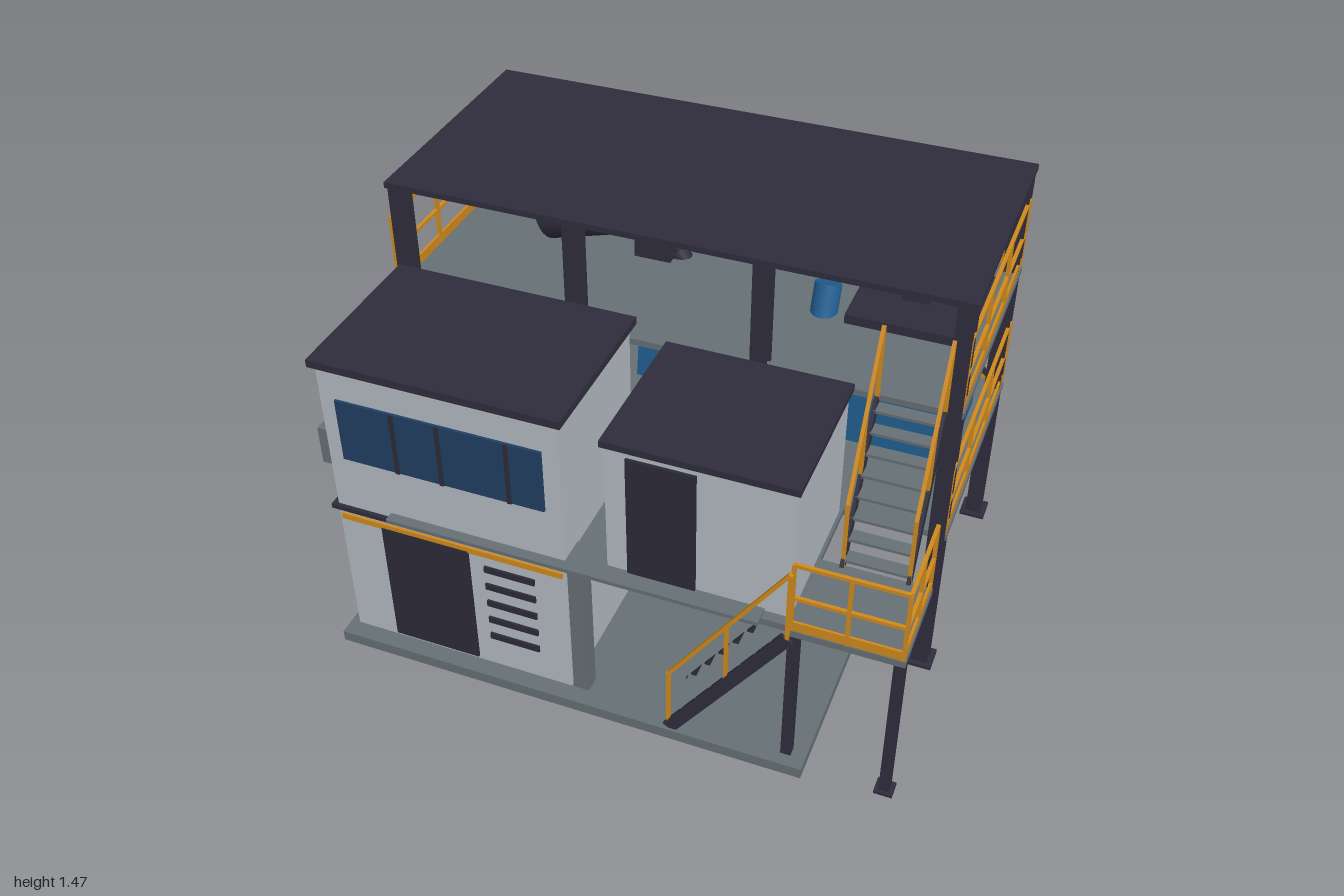
import * as THREE from 'three';

export function createModel() {
  const root = new THREE.Group();
  root.name = 'processingPlant';
  const mat = (name, color, side = THREE.FrontSide) => {
    const m = new THREE.MeshStandardMaterial({ color, side });
    m.name = name;
    return m;
  };
  const steel = mat('darkSteel', 0x2f2d3c);
  const wall = mat('panelGrey', 0xb3bac2);
  const deck = mat('deckGrey', 0x657075);
  const yellow = mat('safetyYellow', 0xd08a1c);
  const blue = mat('machineBlue', 0x225f92);
  const glass = mat('windowBlue', 0x213f63);
  const door = mat('doorDark', 0x2c2b38);

  const group = (name, parent = root) => {
    const g = new THREE.Group();
    g.name = name;
    parent.add(g);
    return g;
  };
  const add = (parent, name, geo, m) => {
    const mesh = new THREE.Mesh(geo, m);
    mesh.name = name;
    parent.add(mesh);
    return mesh;
  };
  // box given by its limits on each axis
  const box = (parent, name, m, x0, x1, y0, y1, z0, z1) => {
    const b = add(parent, name, new THREE.BoxGeometry(x1 - x0, y1 - y0, z1 - z0), m);
    b.position.set((x0 + x1) / 2, (y0 + y1) / 2, (z0 + z1) / 2);
    return b;
  };
  // straight bar between two points
  const bar = (parent, name, m, p, q, w = 0.012, h = w) => {
    const a = new THREE.Vector3(...p), b = new THREE.Vector3(...q);
    const mesh = add(parent, name, new THREE.BoxGeometry(w, h, a.distanceTo(b)), m);
    mesh.position.copy(a).add(b).multiplyScalar(0.5);
    mesh.lookAt(b);
    return mesh;
  };
  // round pipe between two points
  const pipe = (parent, name, m, p, q, r, r2 = r) => {
    const a = new THREE.Vector3(...p), b = new THREE.Vector3(...q);
    const mesh = add(parent, name, new THREE.CylinderGeometry(r2, r, a.distanceTo(b), 24), m);
    mesh.position.copy(a).add(b).multiplyScalar(0.5);
    mesh.quaternion.setFromUnitVectors(new THREE.Vector3(0, 1, 0), b.sub(a).normalize());
    return mesh;
  };
  // guard rail run: posts, two rails and a toe board
  const railing = (y, [x0, z0], [x1, z1], n) => {
    const g = group('railing');
    for (let i = 0; i <= n; i++) {
      const x = x0 + (x1 - x0) * i / n, z = z0 + (z1 - z0) * i / n;
      bar(g, 'railPost', yellow, [x, y, z], [x, y + 0.26, z]);
    }
    for (const h of [0.13, 0.26]) bar(g, 'rail', yellow, [x0, y + h, z0], [x1, y + h, z1]);
    bar(g, 'toeBoard', yellow, [x0, y + 0.018, z0], [x1, y + 0.018, z1], 0.008, 0.034);
  };

  // steel frame: H columns on base plates
  const frame = group('steelFrame');
  const colX = [-0.905, -0.3, 0.32, 0.935];
  for (const x of colX) for (const z of [0.111, -0.708]) {
    const c = group('column', frame);
    for (const s of [-1, 1])
      box(c, 'flange', steel, x - 0.027, x + 0.027, 0, 1.45, z + s * 0.022 - 0.006, z + s * 0.022 + 0.006);
    box(c, 'web', steel, x - 0.008, x + 0.008, 0, 1.45, z - 0.02, z + 0.02);
    box(c, 'basePlate', steel, x - 0.045, x + 0.045, 0, 0.012, z - 0.046, z + 0.046);
  }
  box(frame, 'roof', steel, -0.945, 0.967, 1.45, 1.47, -0.738, 0.137);
  box(frame, 'lowerDeck', deck, -0.945, 0.967, 0.573, 0.596, -0.735, 0.137);
  box(frame, 'upperDeck', deck, -0.945, 0.967, 1.06, 1.082, -0.735, 0.137);
  for (const [a, b, y0, y1] of [[-0.905, -0.3, 0.03, 0.56], [0.32, 0.935, 0.61, 1.05]]) {
    bar(frame, 'brace', steel, [a, y0, -0.705], [b, y1, -0.705], 0.014, 0.018);
    bar(frame, 'brace', steel, [a, y1, -0.715], [b, y0, -0.715], 0.014, 0.018);
  }
  for (const y of [0.596, 1.082]) {
    railing(y, [-0.938, -0.73], [0.958, -0.73], 7);
    for (const x of [-0.938, 0.958]) railing(y, [x, 0.13], [x, -0.73], 3);
  }

  // ground slab and walkway under the cabins
  box(root, 'groundSlab', deck, -0.935, 0.71, 0.005, 0.045, 0.14, 0.755);
  box(root, 'cabinFloor', deck, -0.1, 0.63, 0.578, 0.602, 0.14, 0.7);
  box(root, 'frontLedge', deck, -0.71, 0.54, 0.597, 0.611, 0.6, 0.73);
  box(root, 'floorPost', deck, -0.095, -0.04, 0.045, 0.578, 0.64, 0.695);

  // lower room with door and louvres
  const store = group('lowerRoom');
  box(store, 'walls', wall, -0.905, -0.1, 0.045, 0.575, 0.155, 0.695);
  box(store, 'topSlab', steel, -0.925, -0.085, 0.575, 0.592, 0.148, 0.708);
  box(store, 'door', door, -0.75, -0.44, 0.06, 0.54, 0.695, 0.704);
  box(store, 'yellowStripe', yellow, -0.895, -0.11, 0.535, 0.557, 0.695, 0.703);
  for (let i = 0; i < 5; i++) {
    const y = 0.18 + i * 0.075;
    box(store, 'louvre', door, -0.387, -0.21, y - 0.012, y + 0.012, 0.695, 0.703);
  }

  // control room with windows and cooling unit
  const control = group('controlRoom');
  box(control, 'walls', wall, -0.905, -0.1, 0.592, 1.145, 0.155, 0.695);
  box(control, 'roof', steel, -0.922, -0.082, 1.145, 1.172, 0.14, 0.714);
  box(control, 'frontWindow', glass, -0.85, -0.155, 0.8, 1.03, 0.695, 0.704);
  for (const x of [-0.655, -0.5, -0.27])
    box(control, 'mullion', door, x - 0.007, x + 0.007, 0.8, 1.03, 0.703, 0.709);
  box(control, 'sideWindow', glass, -0.914, -0.905, 0.8, 1.03, 0.2, 0.66);
  box(control, 'coolingUnit', deck, -0.995, -0.905, 0.68, 0.82, 0.43, 0.62);
  pipe(control, 'fan', door, [-0.99, 0.75, 0.525], [-1, 0.75, 0.525], 0.048);

  // small cabin
  const cabin = group('smallCabin');
  box(cabin, 'walls', wall, 0.03, 0.62, 0.6, 1.085, 0.155, 0.665);
  box(cabin, 'roof', steel, 0.02, 0.632, 1.085, 1.108, 0.145, 0.677);
  box(cabin, 'door', door, 0.1, 0.32, 0.61, 1.06, 0.665, 0.674);

  // stair landing
  const landing = group('stairLanding');
  box(landing, 'landingDeck', deck, 0.625, 0.985, 0.576, 0.6, 0.39, 0.715);
  for (const x of [0.645, 0.968]) {
    box(landing, 'landingPost', steel, x - 0.017, x + 0.017, 0, 0.576, 0.678, 0.712);
    box(landing, 'basePlate', steel, x - 0.03, x + 0.03, 0, 0.012, 0.666, 0.722);
  }
  railing(0.6, [0.977, 0.708], [0.977, 0.398], 2);
  railing(0.6, [0.635, 0.708], [0.977, 0.708], 2);

  // stair flight from p to q, with stringers offset sideways along o
  const stair = (name, p, q, o, treads, railSides) => {
    const g = group(name);
    const at = (t, s, h = 0) => [0, 1, 2].map(i => p[i] + (q[i] - p[i]) * t + o[i] * s + (i === 1 ? h : 0));
    for (const s of [-1, 1]) bar(g, 'stringer', steel, at(0, s), at(1, s), 0.012, 0.045);
    for (let i = 0; i < treads; i++) {
      const c = at((i + 0.5) / treads, 0);
      const hx = Math.abs(o[0]) || 0.03, hz = Math.abs(o[2]) || 0.024;
      box(g, 'tread', deck, c[0] - hx, c[0] + hx, c[1] - 0.005, c[1] + 0.005, c[2] - hz, c[2] + hz);
    }
    for (const s of railSides) {
      bar(g, 'handrail', yellow, at(0, s, 0.25), at(1, s, 0.26));
      for (const t of [0, 0.5, 1]) bar(g, 'handrailPost', yellow, at(t, s), at(t, s, 0.255));
    }
  };
  stair('lowerStair', [0.26, 0.045, 0.637], [0.635, 0.59, 0.637], [0, 0, 0.103], 8, [1]);
  stair('upperStair', [0.807, 0.6, 0.395], [0.807, 1.075, 0.137], [0.105, 0, 0], 8, [-1, 1]);

  // large machine housing with motor on top
  const mill = group('millHousing');
  box(mill, 'body', blue, 0.53, 0.89, 0.6, 1.06, -0.57, -0.205);
  box(mill, 'topCover', steel, 0.5, 0.91, 1.082, 1.115, -0.585, -0.19);
  box(mill, 'motorFoot', steel, 0.65, 0.74, 1.11, 1.15, -0.43, -0.34);
  pipe(mill, 'motor', blue, [0.64, 1.195, -0.385], [0.75, 1.195, -0.385], 0.055);
  for (const x of [0.635, 0.75])
    pipe(mill, 'motorCap', blue, [x, 1.195, -0.385], [x + 0.01, 1.195, -0.385], 0.06);
  pipe(mill, 'shaft', yellow, [0.76, 1.195, -0.385], [0.775, 1.195, -0.385], 0.013);
  pipe(mill, 'chute', blue, [0.42, 1.17, -0.27], [0.42, 0.91, -0.17], 0.045);
  pipe(mill, 'chuteFlange', steel, [0.42, 0.915, -0.172], [0.42, 0.898, -0.165], 0.055);

  // vibrating screen on spring feet
  const screen = group('screen');
  box(screen, 'body', blue, -0.21, 0.25, 0.69, 0.83, -0.53, -0.165).rotation.z = -0.06;
  for (const x of [-0.15, 0.19]) for (const z of [-0.5, -0.16]) {
    pipe(screen, 'spring', yellow, [x, 0.596, z], [x, 0.7, z], 0.014);
    for (let i = 0; i < 4; i++) {
      const ring = add(screen, 'springCoil', new THREE.TorusGeometry(0.018, 0.005, 6, 16), yellow);
      ring.position.set(x, 0.61 + i * 0.018, z);
      ring.rotation.x = Math.PI / 2;
    }
  }

  // tilted drum with feed spout and discharge
  const drum = group('drum');
  pipe(drum, 'drumShell', steel, [-0.622, 1.173, -0.385], [-0.362, 1.247, -0.385], 0.115);
  pipe(drum, 'feedSpout', yellow, [-0.76, 1.3, -0.385], [-0.61, 1.215, -0.385], 0.04);
  pipe(drum, 'spoutFlange', yellow, [-0.765, 1.303, -0.385], [-0.75, 1.294, -0.385], 0.056);
  box(drum, 'gearbox', steel, -0.28, -0.15, 1.082, 1.2, -0.45, -0.32);
  pipe(drum, 'gearShaft', yellow, [-0.15, 1.13, -0.385], [-0.11, 1.11, -0.385], 0.025, 0.012);
  pipe(drum, 'dischargePipe', steel, [-0.15, 1.1, -0.385], [-0.03, 0.925, -0.385], 0.035);
  pipe(drum, 'dischargeFlange', yellow, [-0.033, 0.93, -0.385], [-0.024, 0.917, -0.385], 0.045);

  return root;
}
